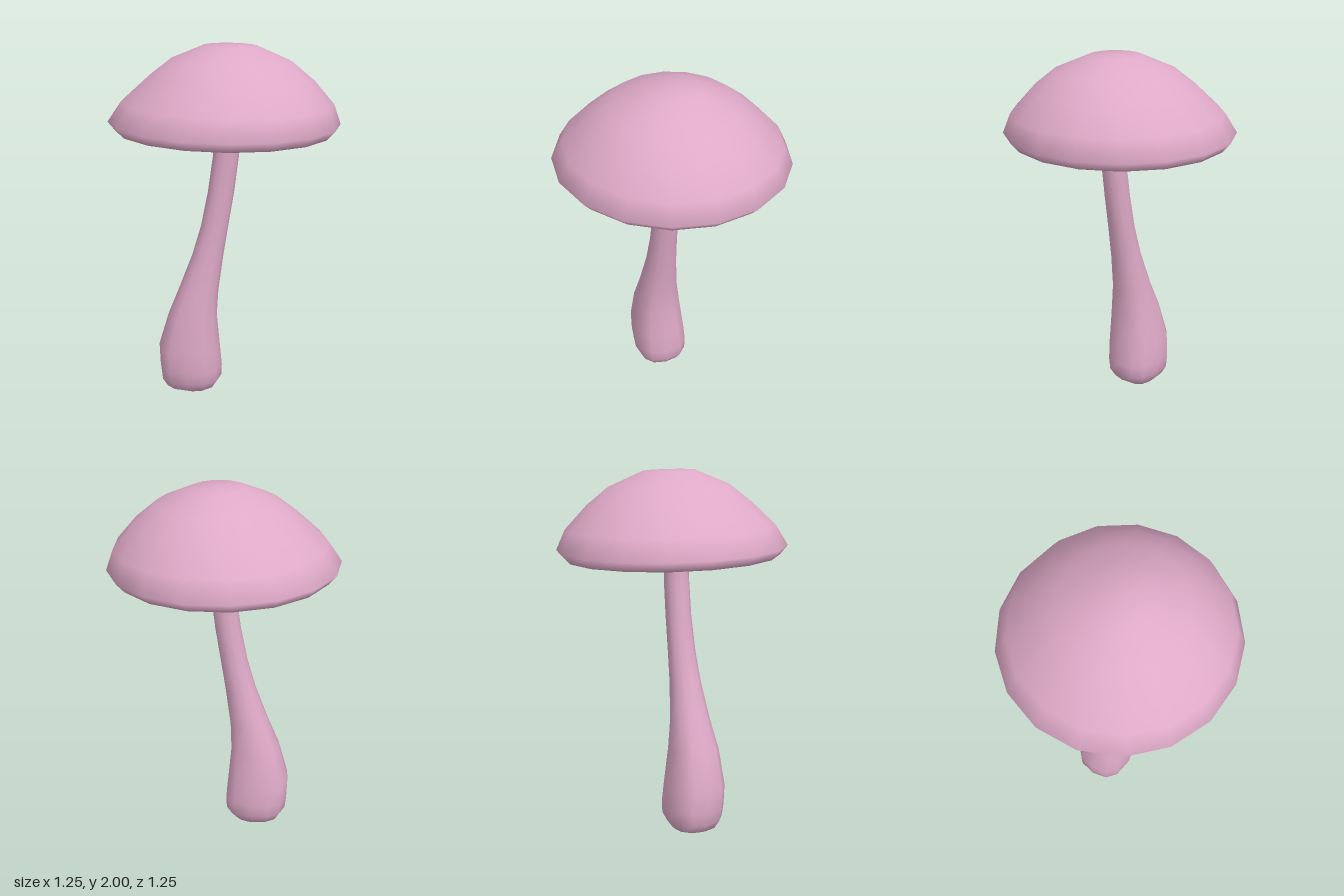
import * as THREE from 'three';
import { mergeVertices } from 'three/addons/utils/BufferGeometryUtils.js';

// Skins a list of rings; point(ring, angle) returns [x, y, z].
function loft(rings, sides, point) {
  const positions = [], index = [];
  rings.forEach((ring) => {
    for (let j = 0; j < sides; j++) positions.push(...point(ring, (j / sides) * Math.PI * 2));
  });
  for (let i = 0; i < rings.length - 1; i++) {
    for (let j = 0; j < sides; j++) {
      const k = (j + 1) % sides;
      const a = i * sides + j, b = i * sides + k;
      const c = a + sides, d = b + sides;
      index.push(a, b, d, a, d, c);
    }
  }
  const geometry = new THREE.BufferGeometry();
  geometry.setAttribute('position', new THREE.Float32BufferAttribute(positions, 3));
  geometry.setIndex(index);
  const merged = mergeVertices(geometry, 1e-5);
  merged.computeVertexNormals();
  return merged;
}

// Cap ring [radius, y, x shift], leaning slightly to the left and back.
function capPoint([r, y, shift], angle) {
  const x = r * Math.sin(angle + 0.128) + shift;
  const z = r * Math.cos(angle + 0.128) - 0.004;
  return [x, y - 0.016 * x + 0.02 * z, z];
}

// Stem ring [y, x min, x max, z min, z max], rounder towards the top.
function stemPoint([y, x0, x1, z0, z1], angle) {
  const power = y < 0.5 ? 0.8 : 0.95;
  const bend = (v) => Math.sign(v) * Math.abs(v) ** power;
  return [
    (x0 + x1) / 2 + ((x1 - x0) / 2) * bend(Math.sin(angle)),
    y,
    (z0 + z1) / 2 + ((z1 - z0) / 2) * bend(Math.cos(angle)),
  ];
}

export function createModel() {
  const pink = new THREE.MeshStandardMaterial({ color: 0xdea9c7 });
  pink.name = 'pink flesh';
  const plum = new THREE.MeshStandardMaterial({ color: 0x7c3e5f });
  plum.name = 'dark plum gills';

  const group = new THREE.Group();
  const add = (name, geometry, material) => {
    const mesh = new THREE.Mesh(geometry, material);
    mesh.name = name;
    group.add(mesh);
  };

  // Domed cap, from the underside lip round the rim to the crown
  add('cap', loft([
    [0.475, 1.548, 0],
    [0.585, 1.538, -0.005],
    [0.628, 1.588, -0.003],
    [0.572, 1.695, 0.015],
    [0.448, 1.82, 0.03],
    [0.328, 1.915, 0.032],
    [0.145, 1.993, 0.03],
    [0, 2.0, 0.03],
  ], 17, capPoint), pink);

  // Shallow hollow of gills under the cap
  add('gills', loft([
    [0, 1.6, 0.02],
    [0.1, 1.59, 0.02],
    [0.28, 1.565, 0.01],
    [0.475, 1.548, 0],
  ], 17, capPoint), plum);

  // Leaning stem with a swollen foot
  add('stem', loft([
    [0, -0.18, -0.18, 0.015, 0.015],
    [0.005, -0.27, -0.09, -0.08, 0.11],
    [0.03, -0.34, -0.05, -0.105, 0.15],
    [0.08, -0.37, -0.018, -0.13, 0.175],
    [0.15, -0.377, -0.015, -0.134, 0.185],
    [0.27, -0.38, -0.025, -0.124, 0.187],
    [0.47, -0.32, -0.042, -0.095, 0.17],
    [0.62, -0.26, -0.033, -0.075, 0.148],
    [0.83, -0.18, -0.005, -0.053, 0.12],
    [1.0, -0.13, 0.022, -0.045, 0.108],
    [1.2, -0.09, 0.055, -0.04, 0.1],
    [1.4, -0.062, 0.08, -0.037, 0.1],
    [1.54, -0.047, 0.09, -0.028, 0.1],
    [1.61, -0.06, 0.1, -0.04, 0.11],
  ], 12, stemPoint), pink);

  return group;
}
